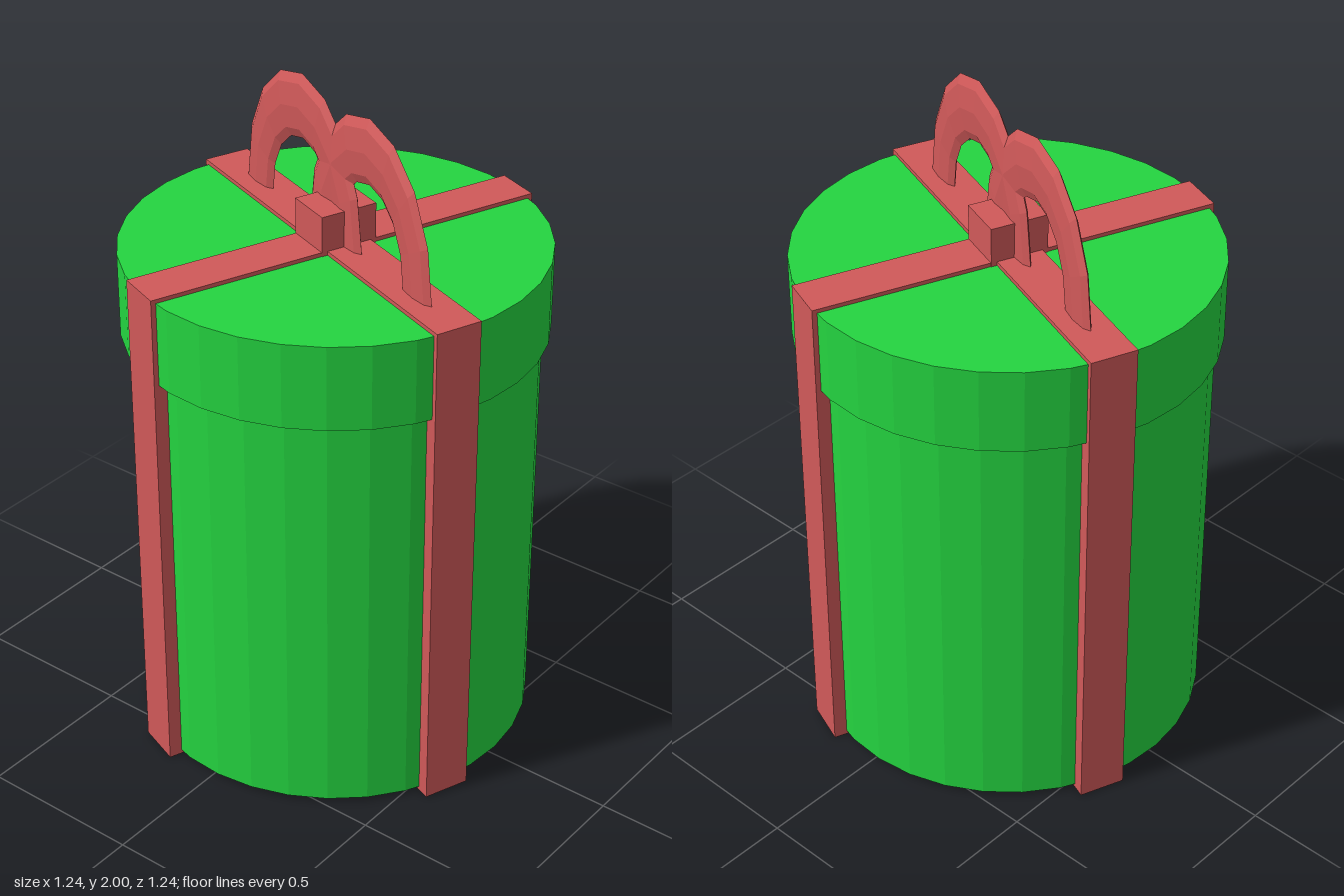
import * as THREE from 'three';

export function createModel() {
  const green = new THREE.MeshStandardMaterial({ color: 0x24d440, flatShading: true });
  green.name = 'green paper';
  const red = new THREE.MeshStandardMaterial({ color: 0xd05959, flatShading: true });
  red.name = 'red ribbon';

  const group = new THREE.Group();
  group.name = 'giftBox';
  const add = (name, geometry, material, y) => {
    const mesh = new THREE.Mesh(geometry, material);
    mesh.name = name;
    mesh.position.y = y;
    group.add(mesh);
    return mesh;
  };

  // Round box and its overhanging lid
  const drum = (radius, bottom, top) =>
    new THREE.CylinderGeometry(radius, radius, top - bottom, 32).translate(0, (top + bottom) / 2, 0);
  add('body', drum(0.597, 0.012, 1.4), green, 0);
  add('lid', drum(0.622, 1.3, 1.558), green, 0);

  // Two crossing bands, standing slightly proud on every side
  const height = 1.57, width = 0.142, length = 1.26;
  add('ribbonAcross', new THREE.BoxGeometry(length, height, width), red, height / 2);
  add('ribbonFrontToBack', new THREE.BoxGeometry(width, height, length), red, height / 2);

  // Knot in the middle of the lid
  add('knot', new THREE.BoxGeometry(0.146, 0.14, 0.178), red, 1.61);

  // Bow: two flattened, stretched half rings that overlap in the middle
  for (const side of [-1, 1]) {
    const loop = add(side > 0 ? 'bowLoopLeft' : 'bowLoopRight',
      new THREE.TorusGeometry(0.245, 0.073, 8, 8, Math.PI), red, 1.568);
    loop.position.x = side * 0.178;
    loop.scale.set(1, 1.358, 0.25);
  }

  // The whole gift is turned a little on its base
  group.rotation.y = -0.359;
  const model = new THREE.Group();
  model.name = 'gift';
  model.add(group);
  return model;
}
